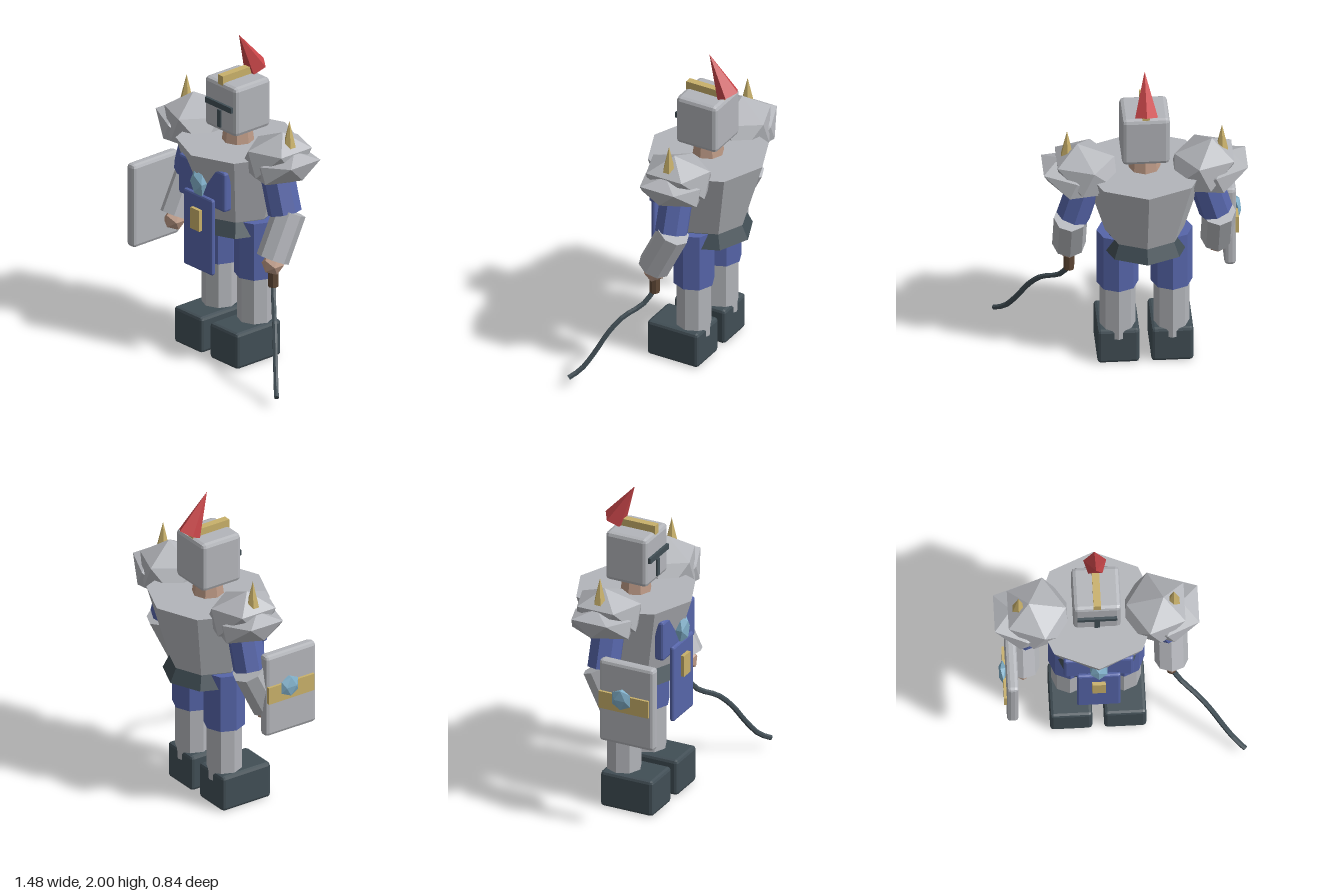
import * as THREE from 'three';
import { RoundedBoxGeometry } from 'three/addons/geometries/RoundedBoxGeometry.js';

export function createModel() {
  const mat = (name, color) => {
    const m = new THREE.MeshStandardMaterial({ color, flatShading: true });
    m.name = name;
    return m;
  };
  const steel = mat('steel', 0xb3b5ba);
  const blue = mat('blue cloth', 0x5665a9);
  const dark = mat('dark leather', 0x414e55);
  const gold = mat('gold', 0xc8b06a);
  const red = mat('red plume', 0xcb474a);
  const skin = mat('skin', 0xbd9a86);
  const brown = mat('brown grip', 0x5f4836);
  const gem = mat('blue gem', 0x82b1cb);

  const root = new THREE.Group();
  root.name = 'armouredFigure';
  // the body axis sits off centre because the whip reaches out to one side
  const body = new THREE.Group();
  body.name = 'body';
  body.position.x = -0.145;
  root.add(body);

  const add = (name, geo, material, x, y, z) => {
    const m = new THREE.Mesh(geo, material);
    m.name = name;
    m.position.set(x, y, z);
    body.add(m);
    return m;
  };
  // box given by its limits on each axis; a bevel is optional
  const box = (name, material, [x0, x1], [y0, y1], [z0, z1], bevel = 0) => {
    const size = [x1 - x0, y1 - y0, z1 - z0];
    const geo = bevel ? new RoundedBoxGeometry(...size, 1, bevel) : new THREE.BoxGeometry(...size);
    return add(name, geo, material, (x0 + x1) / 2, (y0 + y1) / 2, (z0 + z1) / 2);
  };
  const tube = (name, material, rTop, rBottom, y0, y1, x, z, sides = 8) =>
    add(name, new THREE.CylinderGeometry(rTop, rBottom, y1 - y0, sides), material, x, (y0 + y1) / 2, z);
  // straight limb between two points
  const limb = (name, material, r, top, bottom) => {
    const a = new THREE.Vector3(...top), b = new THREE.Vector3(...bottom);
    const d = a.clone().sub(b);
    const mid = a.clone().add(b).multiplyScalar(0.5);
    const m = add(name, new THREE.CylinderGeometry(r, r, d.length(), 8), material, mid.x, mid.y, mid.z);
    m.quaternion.setFromUnitVectors(new THREE.Vector3(0, 1, 0), d.normalize());
    return m;
  };
  const stone = (name, material, r, scale, x, y, z) => {
    const m = add(name, new THREE.IcosahedronGeometry(r, 0), material, x, y, z);
    m.scale.set(...scale);
    return m;
  };

  const Z = -0.055;

  // torso, belt and neck
  tube('torso', steel, 0.37, 0.235, 0.89, 1.33, 0, Z);
  tube('belt', dark, 0.225, 0.272, 0.8, 0.9, 0, Z);
  tube('neck', skin, 0.08, 0.1, 1.3, 1.45, 0, Z);

  // chest plate, which the torso ridge pierces, and its gem
  box('chestPlate', blue, [-0.207, 0.207], [1.0, 1.255], [0.175, 0.235], 0.015);
  stone('chestGem', gem, 1, [0.06, 0.1, 0.045], 0, 1.14, 0.255);

  // tabard with buckle
  box('tabard', blue, [-0.13, 0.13], [0.575, 1.065], [0.235, 0.265], 0.013);
  box('buckle', gold, [-0.04, 0.04], [0.84, 0.975], [0.255, 0.287]);

  // helmet
  box('helmet', steel, [-0.142, 0.142], [1.42, 1.735], [-0.19, 0.088], 0.025);
  box('visorSlit', dark, [-0.117, 0.117], [1.575, 1.61], [0.07, 0.104]);
  box('breathSlit', dark, [-0.016, 0.016], [1.45, 1.56], [0.07, 0.097]);
  box('crest', gold, [-0.022, 0.022], [1.72, 1.78], [-0.18, 0.084]);

  // plume leaning forward
  const plume = add('plume', new THREE.ConeGeometry(0.072, 0.275, 5, 1, false, Math.PI), red, 0, 1.88, -0.128);
  plume.rotation.x = 0.5;

  for (const s of [-1, 1]) {
    const side = s > 0 ? 'left' : 'right';
    const leg = s * 0.16;

    // legs
    box(side + 'Boot', dark, [leg - 0.125, leg + 0.125], [0, 0.23], [-0.147, 0.202], 0.02);
    tube(side + 'Shin', steel, 0.107, 0.107, 0.17, 0.56, leg, -0.05);
    tube(side + 'Thigh', blue, 0.125, 0.125, 0.52, 0.885, leg, -0.05);

    // shoulder armour: two overlapping faceted plates and a spike
    const upper = stone(side + 'ShoulderPlate', steel, 0.23, [1, 0.7, 1], s * 0.345, 1.33, Z);
    const lower = stone(side + 'LowerShoulderPlate', steel, 0.22, [1, 0.47, 1], s * 0.435, 1.285, Z);
    upper.rotation.z = lower.rotation.z = s * 0.42;
    tube(side + 'ShoulderSpike', gold, 0, 0.042, 1.425, 1.597, s * 0.46, Z, 6);

    // arms
    limb(side + 'UpperArm', blue, 0.102, [s * 0.345, 1.26, -0.05], [s * 0.424, 0.995, -0.05]);
    limb(side + 'Forearm', steel, 0.1, [s * 0.44, 1.0, -0.075], [s * 0.44, 0.73, 0.06]);
    stone(side + 'Hand', skin, 0.07, [1, 1, 1], s * 0.44, 0.7, 0.058);
  }

  // shield on the right arm
  box('shield', steel, [-0.548, -0.478], [0.575, 1.11], [-0.02, 0.345], 0.022);
  box('shieldBand', gold, [-0.564, -0.54], [0.8, 0.91], [-0.01, 0.318]);
  stone('shieldGem', gem, 1, [0.026, 0.073, 0.07], -0.564, 0.885, 0.14);

  // whip in the left hand
  tube('whipGrip', brown, 0.034, 0.031, 0.555, 0.72, 0.44, 0.055);
  const path = [[0.295, 0.57], [0.35, 0.485], [0.45, 0.42], [0.52, 0.335], [0.59, 0.21], [0.655, 0.115], [0.715, 0.073]]
    .map(([x, y]) => new THREE.Vector3(x + 0.145, y, 0.055 + (x - 0.295) * 0.82));
  const curve = new THREE.CatmullRomCurve3(path);
  add('whipLash', new THREE.TubeGeometry(curve, 14, 0.016, 6), dark, 0, 0, 0);
  // flat cap on the lash tip
  const tip = add('whipTip', new THREE.CircleGeometry(0.016, 6), dark, ...path[path.length - 1].toArray());
  tip.quaternion.setFromUnitVectors(new THREE.Vector3(0, 0, 1), curve.getTangent(1));

  return root;
}
